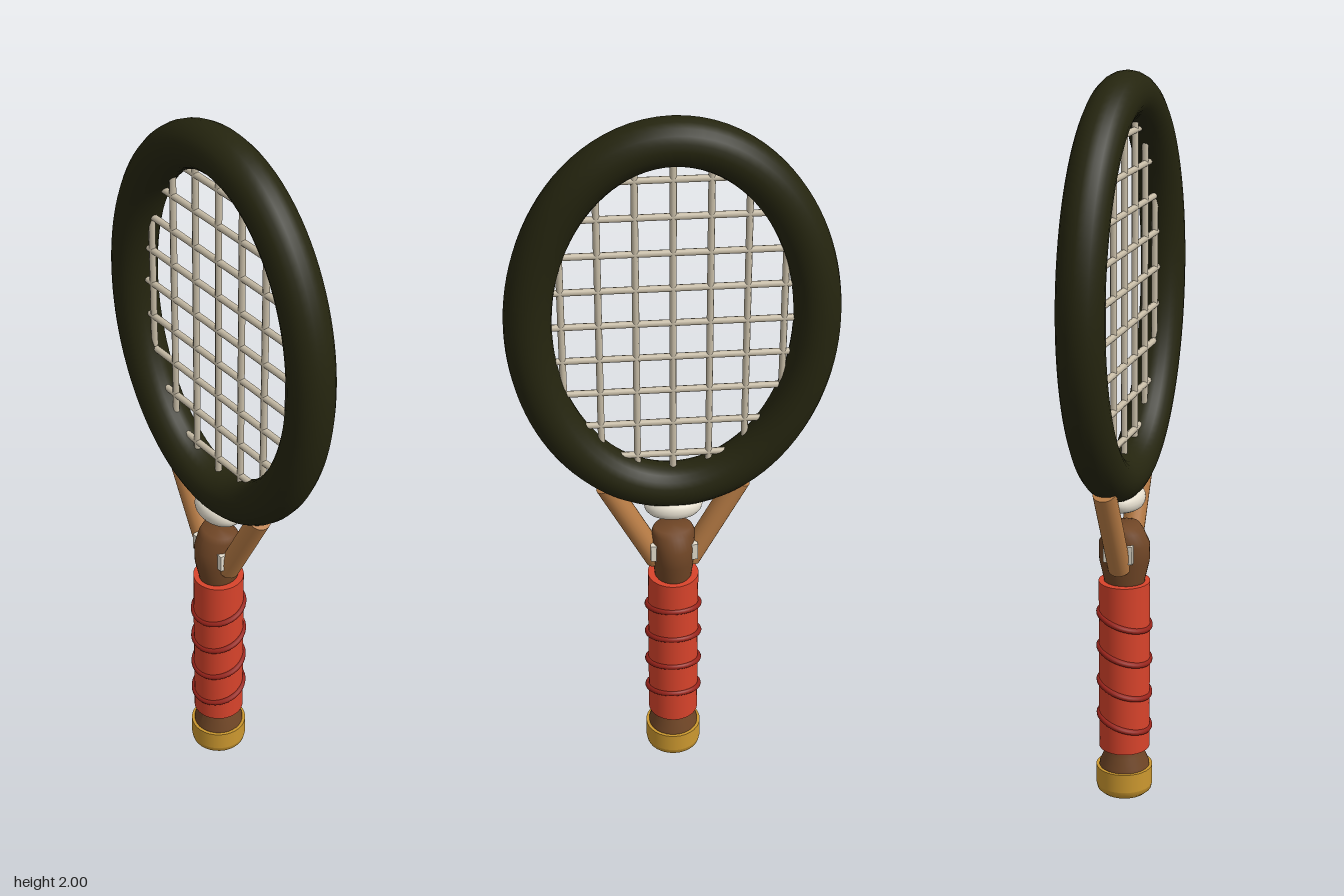
import * as THREE from 'three';

const mat = (name, color) => {
  const m = new THREE.MeshStandardMaterial({ color });
  m.name = name;
  return m;
};

export function createModel() {
  const racket = new THREE.Group();
  racket.name = 'racket';

  const hoopDark = mat('darkOlive', 0x25250f);
  const stringBeige = mat('stringBeige', 0xc9bea8);
  const cream = mat('cream', 0xe6dfcf);
  const tan = mat('tanWood', 0xb87c45);
  const brown = mat('brownWood', 0x704626);
  const red = mat('gripRed', 0xd8432b);
  const darkRed = mat('cordRed', 0x98231a);
  const gold = mat('gold', 0xcc982f);

  const add = (name, geometry, material, parent = racket) => {
    const mesh = new THREE.Mesh(geometry, material);
    mesh.name = name;
    parent.add(mesh);
    return mesh;
  };

  // Round rod between two points
  const rod = (name, a, b, radius, material, parent, sides = 10) => {
    const dir = new THREE.Vector3().subVectors(b, a);
    const mesh = add(name, new THREE.CylinderGeometry(radius, radius, dir.length(), sides), material, parent);
    mesh.position.copy(a).add(b).multiplyScalar(0.5);
    mesh.quaternion.setFromUnitVectors(new THREE.Vector3(0, 1, 0), dir.normalize());
    return mesh;
  };

  // Solid with elliptical sections, each given as [y, half width, half depth]
  const ovalSolid = (rows, sides = 32) => {
    const pts = rows.map(([y, rx]) => new THREE.Vector2(rx, y));
    const geo = new THREE.LatheGeometry(pts, sides);
    const pos = geo.attributes.position;
    for (let i = 0; i < pos.count; i++) {
      const [, rx, rz] = rows[i % rows.length];
      if (rx > 0) pos.setZ(i, pos.getZ(i) * rz / rx);
    }
    geo.computeVertexNormals();
    return geo;
  };

  // Oval hoop
  const CY = 1.44;
  const loop = [];
  for (let i = 0; i < 48; i++) {
    const t = (i / 48) * Math.PI * 2;
    loop.push(new THREE.Vector3(0.366 * Math.sin(t), CY + 0.5 * Math.cos(t), 0));
  }
  add('hoop', new THREE.TubeGeometry(new THREE.CatmullRomCurve3(loop, true), 96, 0.061, 20, true), hoopDark);

  // Strings, cut to length inside the hoop
  const strings = new THREE.Group();
  strings.name = 'strings';
  racket.add(strings);
  const RX = 0.33, RY = 0.465;
  for (let i = -3; i <= 3; i++) {
    const x = i * 0.094;
    const h = RY * Math.sqrt(1 - (x / RX) ** 2);
    rod('mainString', new THREE.Vector3(x, CY - h, 0), new THREE.Vector3(x, CY + h, 0), 0.009, stringBeige, strings, 8);
  }
  for (let i = -4; i <= 4; i++) {
    const y = i * 0.1;
    const w = RX * Math.sqrt(1 - (y / RY) ** 2);
    rod('crossString', new THREE.Vector3(-w, CY + y, 0), new THREE.Vector3(w, CY + y, 0), 0.009, stringBeige, strings, 8);
  }

  // Throat: two slanted arms with pale fittings at their feet
  for (const s of [-1, 1]) {
    rod('throatArm', new THREE.Vector3(s * 0.045, 0.69, 0), new THREE.Vector3(s * 0.178, 0.945, 0), 0.031, tan, racket, 20);
    const fitting = add('armFitting', new THREE.BoxGeometry(0.02, 0.05, 0.08), cream);
    fitting.position.set(s * 0.054, 0.735, 0);
  }

  // Oval ring under the hoop
  const ring = add('throatRing', new THREE.TorusGeometry(0.054, 0.025, 14, 36), cream);
  ring.rotation.x = Math.PI / 2;
  ring.scale.y = 0.7;
  ring.position.y = 0.875;

  // Wooden throat block
  add('throatBlock', ovalSolid([
    [0.62, 0, 0], [0.62, 0.05, 0.055], [0.645, 0.051, 0.056], [0.7, 0.059, 0.069],
    [0.75, 0.06, 0.07], [0.785, 0.058, 0.052], [0.8, 0.052, 0.04], [0.801, 0, 0],
  ]), brown);

  // Grip with tilted cord bands
  const grip = add('grip', new THREE.CylinderGeometry(0.07, 0.07, 0.49, 32), red);
  grip.position.y = 0.395;
  for (let i = 0; i < 4; i++) {
    const band = add('gripCord', new THREE.TorusGeometry(0.072, 0.008, 10, 40), darkRed);
    band.rotation.x = Math.PI / 2 + 0.3;
    band.position.y = 0.23 + i * 0.1;
  }

  // Flared wooden butt and rounded end cap
  add('buttCollar', ovalSolid([
    [0.08, 0.07, 0.07], [0.1, 0.069, 0.069], [0.13, 0.056, 0.056], [0.155, 0.054, 0.054],
  ]), brown);
  add('endCapBowl', ovalSolid([
    [0, 0, 0], [0.006, 0.035, 0.035], [0.014, 0.064, 0.064], [0.024, 0.075, 0.075], [0.038, 0.078, 0.078],
  ]), gold);
  const cap = add('endCapRim', new THREE.CylinderGeometry(0.078, 0.078, 0.054, 32), gold);
  cap.position.y = 0.065;

  return racket;
}
